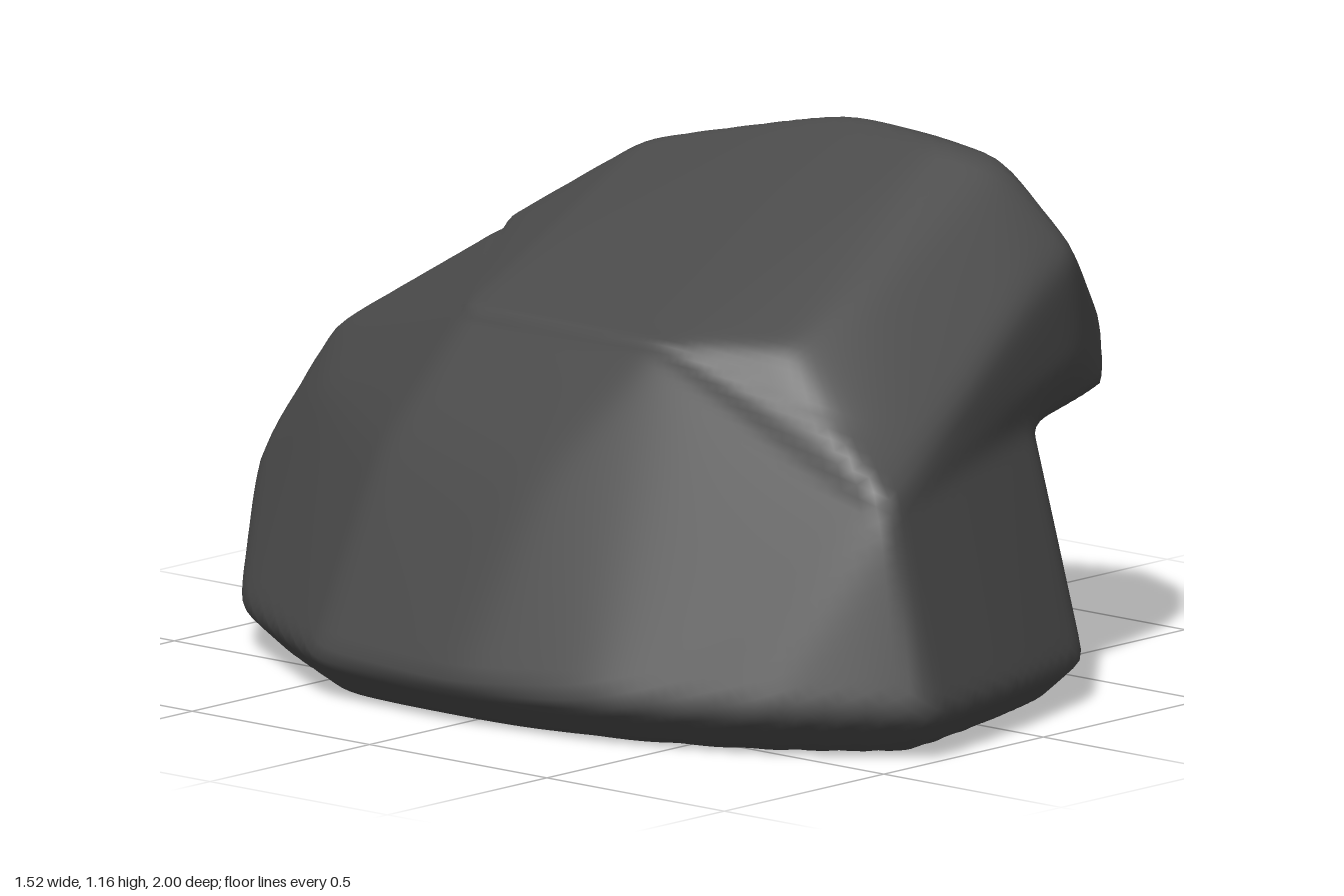
import * as THREE from 'three';
import { mergeVertices } from 'three/addons/utils/BufferGeometryUtils.js';
import { ConvexGeometry } from 'three/addons/geometries/ConvexGeometry.js';

const CENTRE = new THREE.Vector3(0, 0.5, 0);

// Outline of the foot of the rock, as x, z
const FOOT = [
  [-0.77, 0], [-0.745, -0.4], [-0.48, -0.84], [-0.27, -1.005], [0, -1.005], [0.1, -0.985],
  [0.33, -0.85], [0.64, -0.48], [0.68, 0], [0.66, 0.4], [0.48, 0.67], [0.31, 0.84], [0, 0.94],
  [-0.35, 1.01], [-0.46, 0.9], [-0.59, 0.71], [-0.72, 0.37],
];

// Shoulders of the broad lower mass
const LOWER = [
  [0.71, 0.3, 0.05], [0.71, 0.17, 0.05], [0.67, 0.3, 0.4], [0.64, 0.47, 0], [0.61, 0.5, 0.4],
  [0.57, 0.36, -0.38], [0.56, 0.52, -0.3], [0.4, 0.56, -0.56], [0.1, 0.8, -0.65],
  [-0.25, 0.37, -0.99], [0.1, 0.37, -0.99], [-0.15, 0.65, -0.86], [0.1, 0.65, -0.86],
  [0, 0.87, -0.54], [-0.36, 0.55, -0.72], [-0.58, 0.53, 0.1], [-0.57, 0.53, -0.35],
  [-0.42, 0.81, 0.3], [-0.42, 0.81, -0.25], [-0.35, 0.67, 0.71], [-0.36, 0.53, 0.89],
  [-0.1, 0.61, 0.82], [0.28, 0.64, 0.71],
];

// Leaning upper mass that overhangs on the left
const UPPER = [
  [0, 0.2, 0], [-0.42, 0.81, 0.3], [-0.42, 0.81, -0.25], [-0.3, 0.82, 0.56],
  [-0.35, 0.67, 0.71], [-0.36, 0.53, 0.89], [-0.1, 0.62, 0.82],
  [-0.1, 0.9, 0.58], [0.15, 0.95, 0.6], [0.3, 0.9, 0.72], [0.44, 0.93, 0.7],
  [0.4, 1.11, 0.54], [0.33, 1.15, 0.42], [0.33, 1.165, 0.14], [0.2, 1.07, -0.3],
  [0.46, 1.12, 0.3], [0.4, 1.08, -0.05], [0.05, 0.89, -0.55], [0.12, 0.79, -0.65],
  [0.47, 0.54, -0.57], [0.63, 0.53, -0.27], [0.765, 0.82, 0.32], [0.765, 0.72, 0.47],
  [0.59, 0.9, 0], [0.68, 0.58, -0.1], [0.71, 0.56, 0.2], [0.64, 0.6, 0.6], [0.45, 0.69, 0.7],
];

// Face planes of a convex mass, each as its normal and distance from CENTRE
function hullPlanes(points) {
  const hull = new ConvexGeometry(points.map((p) => new THREE.Vector3(...p)));
  const { position, normal } = hull.attributes;
  const planes = new Map();
  for (let i = 0; i < position.count; i += 3) {
    const n = new THREE.Vector3().fromBufferAttribute(normal, i);
    const d = new THREE.Vector3().fromBufferAttribute(position, i).sub(CENTRE).dot(n);
    const key = n.toArray().map((v) => Math.round(v * 50)).join();
    if (d > 0.01) planes.set(key, { n, d });
  }
  return [...planes.values()];
}

// Soft maximum of positive numbers: a higher power gives a sharper edge
function softMax(values, power) {
  const top = Math.max(...values);
  const sum = values.reduce((s, v) => s + Math.pow(v / top, power), 0);
  return top * Math.pow(sum, 1 / power);
}

// Distance from CENTRE to the softly rounded mass in a direction
function reach(planes, dir) {
  return 1 / softMax(planes.map(({ n, d }) => Math.max(0, n.dot(dir) / d)), 110);
}

export function createModel() {
  const stone = new THREE.MeshStandardMaterial({ color: 0x4a4a4a });
  stone.name = 'dark stone';

  const foot = FOOT.flatMap(([x, z]) => [[x * 0.89, 0, z * 0.89], [x, 0.09, z]]);
  const masses = [hullPlanes([...foot, ...LOWER]), hullPlanes(UPPER)];

  // Push a fine sphere out to the blended surface of both masses
  let geometry = new THREE.IcosahedronGeometry(1, 40);
  geometry.deleteAttribute('normal');
  geometry.deleteAttribute('uv');
  geometry = mergeVertices(geometry, 1e-4);
  const position = geometry.attributes.position;
  const dir = new THREE.Vector3();
  for (let i = 0; i < position.count; i++) {
    dir.fromBufferAttribute(position, i).normalize();
    const r = softMax(masses.map((planes) => reach(planes, dir)), 70);
    dir.multiplyScalar(r).add(CENTRE);
    position.setXYZ(i, dir.x, dir.y, dir.z);
  }
  geometry.computeVertexNormals();

  const rock = new THREE.Mesh(geometry, stone);
  rock.name = 'rock';
  const group = new THREE.Group();
  group.name = 'boulder';
  group.add(rock);
  return group;
}
